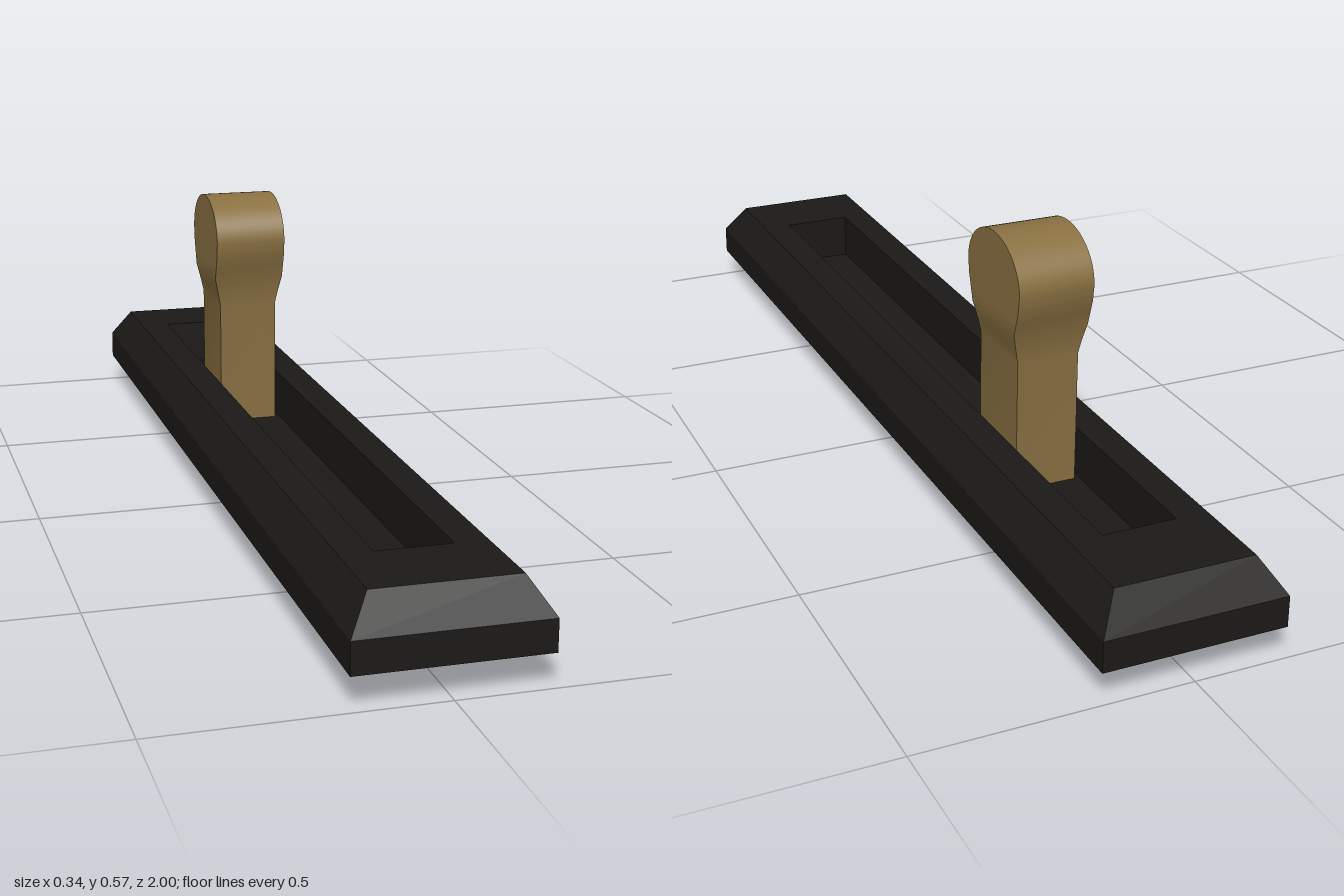
import * as THREE from 'three';
import { toCreasedNormals } from 'three/addons/utils/BufferGeometryUtils.js';

// Rectangular rings [halfX, halfZ, y] joined into a skin
function loft(rings) {
  const corners = [[1, 1], [1, -1], [-1, -1], [-1, 1]];
  const point = (r, i) => [r[0] * corners[i % 4][0], r[2], r[1] * corners[i % 4][1]];
  const pos = [];
  for (let k = 0; k < rings.length - 1; k++) {
    const a = rings[k], b = rings[k + 1];
    for (let i = 0; i < 4; i++) {
      pos.push(...point(a, i), ...point(a, i + 1), ...point(b, i + 1));
      pos.push(...point(a, i), ...point(b, i + 1), ...point(b, i));
    }
  }
  const g = new THREE.BufferGeometry();
  g.setAttribute('position', new THREE.Float32BufferAttribute(pos, 3));
  return toCreasedNormals(g, 0.5);
}

function part(name, rings, color) {
  const mesh = new THREE.Mesh(loft(rings),
    new THREE.MeshStandardMaterial({ color, side: THREE.DoubleSide }));
  mesh.name = name;
  return mesh;
}

export function createModel() {
  const group = new THREE.Group();
  group.name = 'slideLever';

  // Bevelled housing, open underneath, with a sunken slot
  group.add(part('slottedBase', [
    [0.17, 1, 0.06], [0.17, 1, 0.118], [0.13, 0.955, 0.18],
    [0.07, 0.8, 0.18], [0.07, 0.8, 0.085], [0, 0, 0.085],
  ], 0x1c1a18));

  // Hollow foot, straight stem and flared neck
  const lever = [
    [0, 0, 0.1], [0.03, 0.04, 0.1], [0.03, 0.04, 0],
    [0.06, 0.08, 0.012], [0.06, 0.08, 0.34], [0.065, 0.083, 0.365],
    [0.073, 0.09, 0.4], [0.073, 0.098, 0.425], [0.073, 0.106, 0.45],
  ];
  // Rounded head
  const steps = 14;
  for (let i = 0; i <= steps; i++) {
    const t = (i / steps) * Math.PI / 2;
    lever.push([0.073, i === steps ? 0 : 0.11 * Math.cos(t), 0.48 + 0.087 * Math.sin(t)]);
  }
  const handle = part('leverHandle', lever, 0x8a7142);
  handle.position.z = -0.367;
  group.add(handle);

  return group;
}
